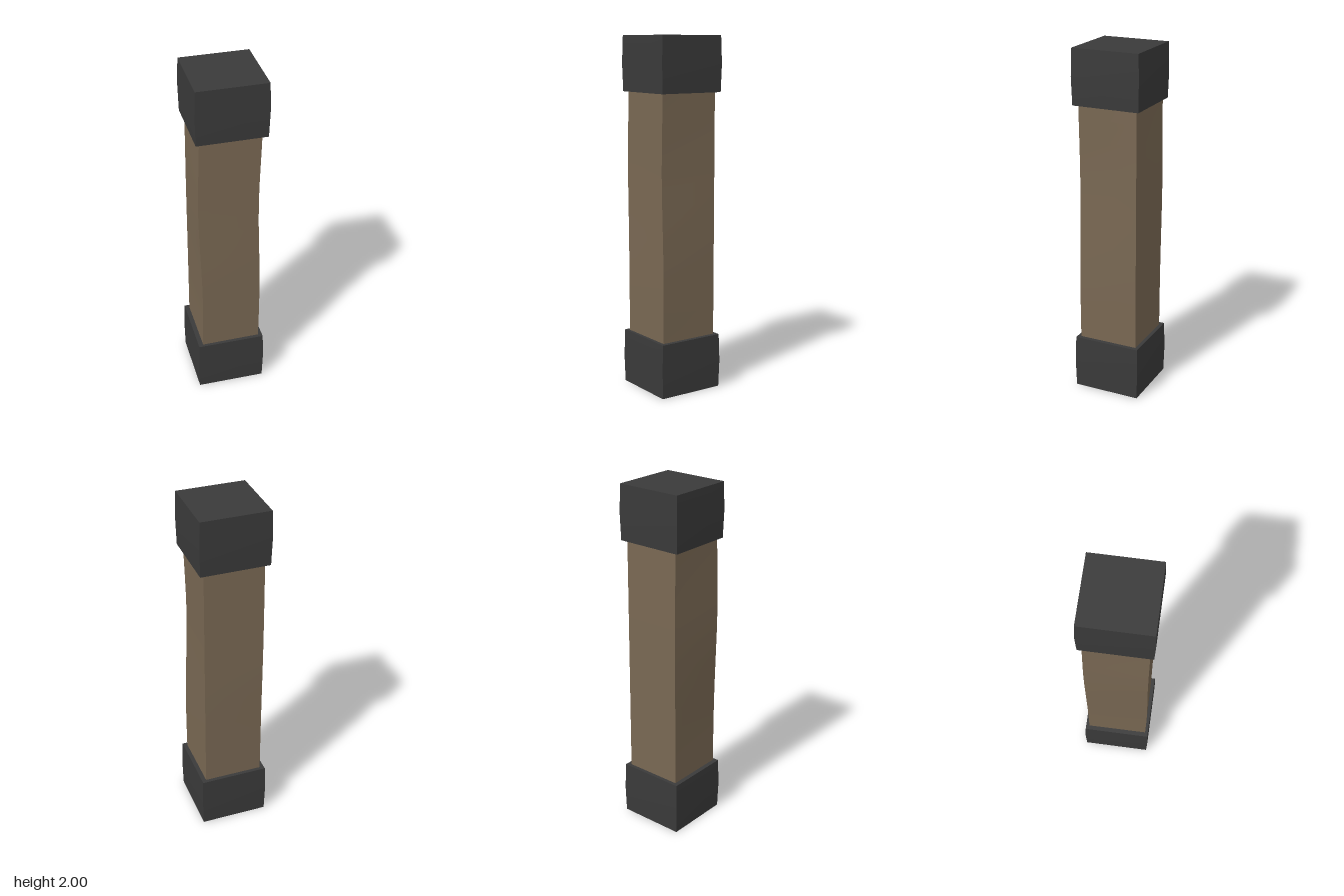
import * as THREE from 'three';

const iron = new THREE.MeshStandardMaterial({ color: 0x3a3a3a });
const wood = new THREE.MeshStandardMaterial({ color: 0x796853 });

// Box whose corners are moved by a rule at every height level
function shapedBox(name, height, y, levels, material, corner) {
  const geometry = new THREE.BoxGeometry(2, height, 2, 1, levels, 1);
  geometry.translate(0, y, 0);
  const p = geometry.attributes.position;
  for (let i = 0; i < p.count; i++) {
    const [x, z] = corner(Math.sign(p.getX(i)), Math.sign(p.getZ(i)), p.getY(i));
    p.setX(i, x);
    p.setZ(i, z);
  }
  geometry.computeVertexNormals();
  const mesh = new THREE.Mesh(geometry, material);
  mesh.name = name;
  return mesh;
}

// Smooth bump along the height
const bump = (y, centre, width) => Math.exp(-(((y - centre) / width) ** 2));

export function createModel() {
  const group = new THREE.Group();
  group.name = 'pillar';

  // Wooden beam: its front edges sway sideways, the other edges are nearly straight
  group.add(shapedBox('beam', 1.48, 1, 12, wood, (sx, sz, y) => {
    const sway = sz > 0 ? 0.004 * bump(y, 0.6, 0.3) - 0.014 * bump(y, 1.27, 0.35) : 0;
    const swell = sx < 0 ? 0.007 * bump(y, sz > 0 ? 0.6 : 1.2, 0.4) : 0;
    return [sx * 0.169 + sway, sz * (0.173 + swell)];
  }));

  // Iron end caps, slightly fuller at mid height
  for (const [name, y] of [['bottomCap', 0.155], ['topCap', 1.845]]) {
    group.add(shapedBox(name, 0.31, y, 2, iron, (sx, sz, h) => {
      const half = Math.abs(h - y) < 0.01 ? 0.198 : 0.194;
      return [sx * half, sz * half];
    }));
  }
  return group;
}
